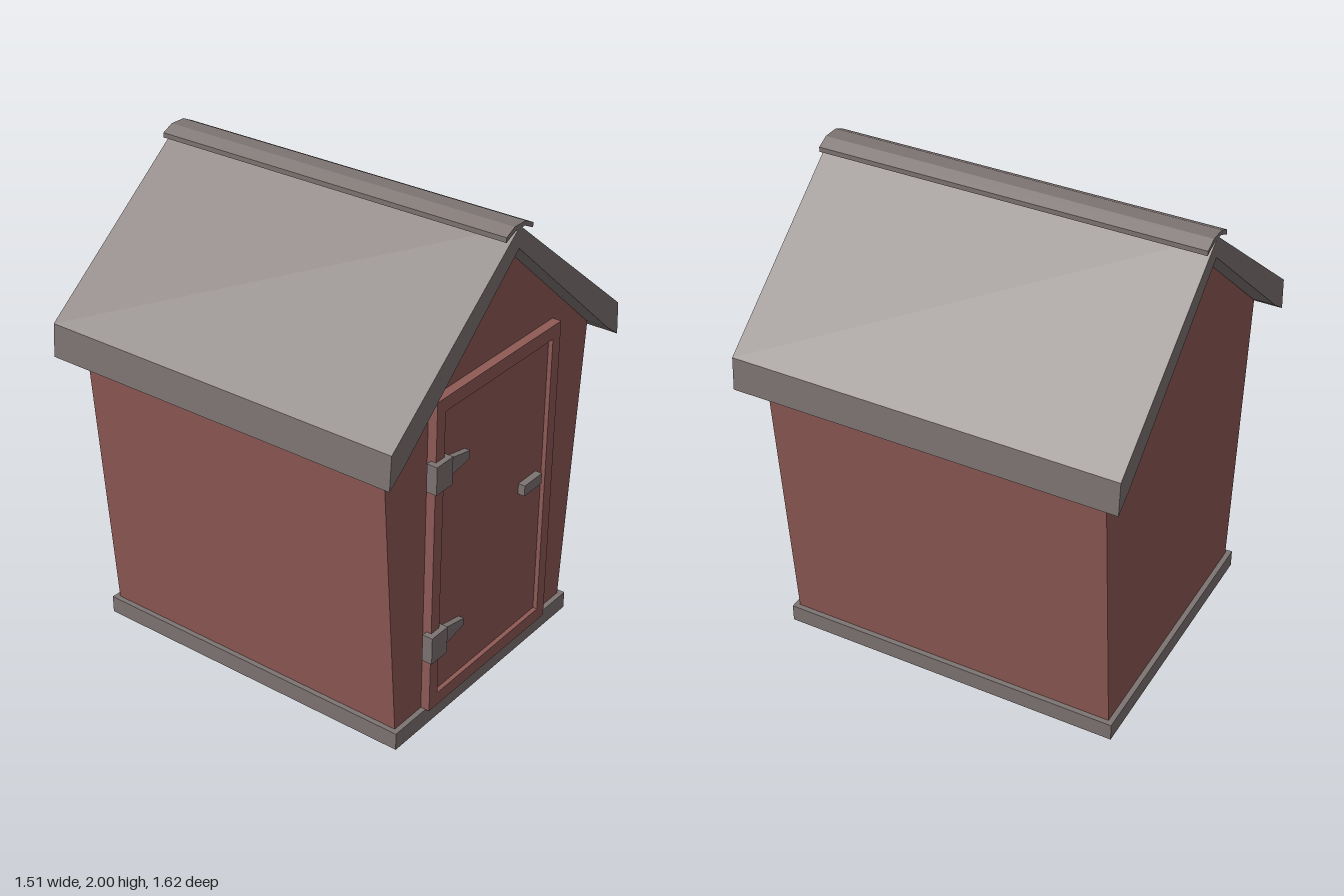
import * as THREE from 'three';

const red = new THREE.MeshStandardMaterial({ name: 'red paint', color: 0x8f5a55 });
const grey = new THREE.MeshStandardMaterial({ name: 'weathered grey', color: 0x7d7472 });

// Closed outline in x/y
function outline(points) {
  return new THREE.Shape(points.map(([x, y]) => new THREE.Vector2(x, y)));
}

// Mirror the right half of an outline (listed bottom to top or around) to the left
function mirrored(half) {
  const left = half.filter(([x]) => x !== 0).map(([x, y]) => [-x, y]).reverse();
  return outline([...half, ...left]);
}

// Extrude an outline between two depths
function slab(name, shape, z0, z1, material) {
  const geometry = new THREE.ExtrudeGeometry(shape, { depth: z1 - z0, bevelEnabled: false });
  geometry.translate(0, 0, z0);
  const mesh = new THREE.Mesh(geometry, material);
  mesh.name = name;
  return mesh;
}

function rect(x0, x1, y0, y1) {
  return outline([[x0, y0], [x1, y0], [x1, y1], [x0, y1]]);
}

export function createModel() {
  const model = new THREE.Group();
  model.name = 'shed';

  // Floor and walls flaring up to the gables
  model.add(slab('base', rect(-0.597, 0.597, 0, 0.075), -0.74, 0.74, grey));
  model.add(slab('walls', mirrored([[0.575, 0.075], [0.67, 1.32], [0, 1.905]]), -0.718, 0.718, red));

  // Pitched roof, thicker at the eaves
  const roof = [[0, 1.905], [0.67, 1.322], [0.755, 1.26], [0.745, 1.4], [0, 1.992]];
  const roofLeft = roof.slice(1, 4).map(([x, y]) => [-x, y]).reverse();
  model.add(slab('roof', outline([...roof, ...roofLeft]), -0.808, 0.808, grey));

  // Folded ridge cap
  const cap = [[0, 1.982], [0.03, 1.982], [0.085, 1.956], [0.085, 1.976], [0.035, 2], [0, 2]];
  const capLeft = cap.slice(1, 5).map(([x, y]) => [-x, y]).reverse();
  model.add(slab('ridgeCap', outline([...cap, ...capLeft]), -0.808, 0.808, grey));

  // Door frame around a recessed door
  const frame = rect(-0.405, 0.405, 0.075, 1.44);
  frame.holes.push(rect(-0.353, 0.353, 0.132, 1.382));
  model.add(slab('doorFrame', frame, 0.71, 0.757, red));
  model.add(slab('door', rect(-0.353, 0.353, 0.132, 1.382), 0.71, 0.738, red));
  model.add(slab('doorHandle', rect(0.19, 0.312, 0.763, 0.81), 0.73, 0.768, grey));

  // Hinges: block on the frame, tapered strap on the door
  for (const [label, y] of [['lower', 0.382], ['upper', 1.134]]) {
    const hinge = new THREE.Group();
    hinge.name = label + 'Hinge';
    hinge.add(slab('hingeBlock', rect(-0.43, -0.33, y - 0.059, y + 0.059), 0.735, 0.78, grey));
    const strap = outline([[-0.33, y - 0.042], [-0.195, y - 0.016], [-0.195, y + 0.016], [-0.33, y + 0.042]]);
    hinge.add(slab('hingeStrap', strap, 0.73, 0.762, grey));
    model.add(hinge);
  }

  return model;
}
